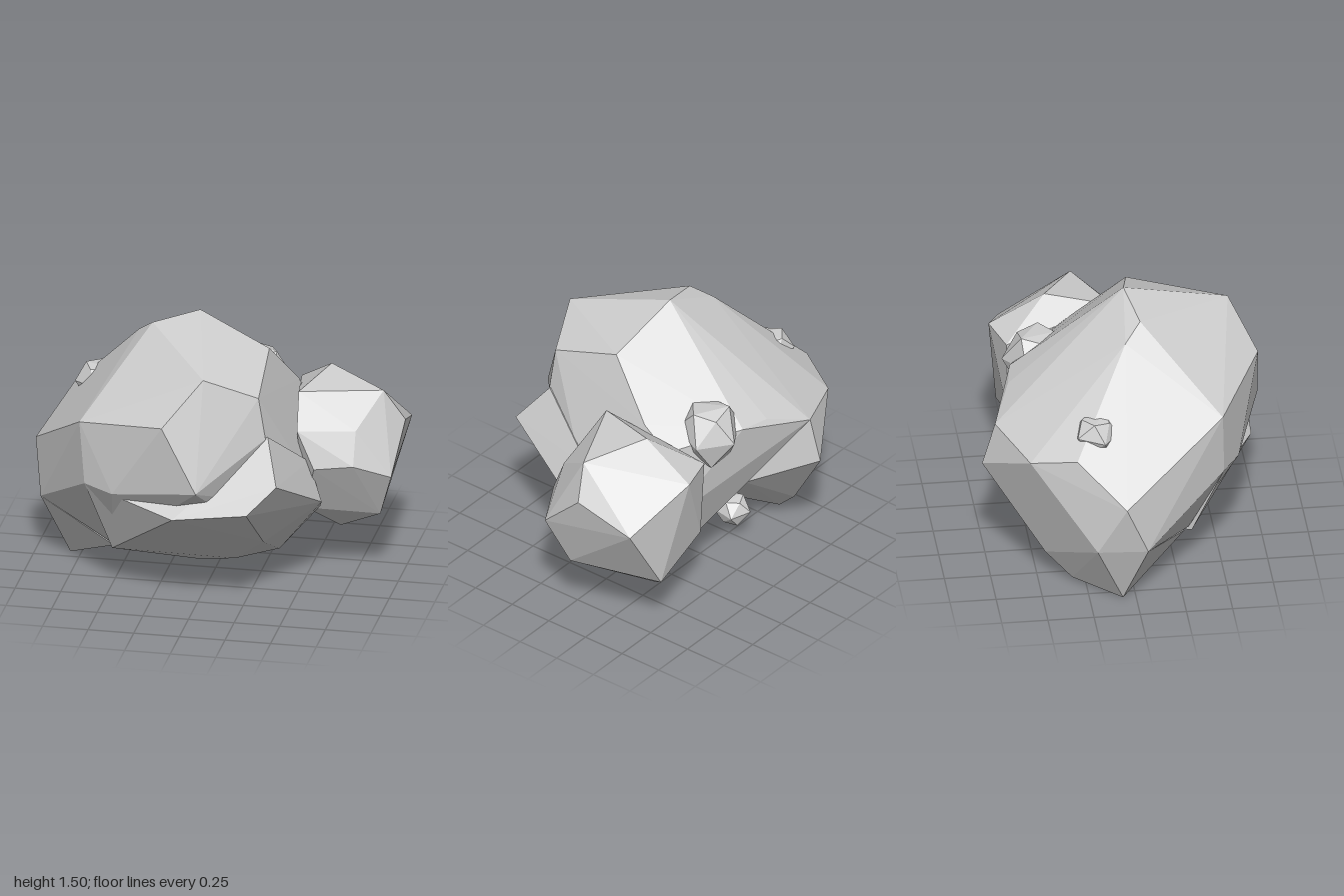
import * as THREE from 'three';
import { ConvexGeometry } from 'three/addons/geometries/ConvexGeometry.js';

const stone = new THREE.MeshStandardMaterial({ color: 0xcecece });
stone.name = 'pale grey stone';

// A faceted rock: the convex hull of its corner points
function rock(name, corners) {
  const points = corners.map(([x, y, z]) => new THREE.Vector3(x, y, z));
  const mesh = new THREE.Mesh(new ConvexGeometry(points), stone);
  mesh.name = name;
  return mesh;
}

// A small chunky stone: a tilted, uneven polyhedron
function pebble(name, [x, y, z], [rx, ry, rz], turn) {
  const corners = [];
  for (let ring = 0; ring < 3; ring++) {
    const radius = [0.62, 1, 0.6][ring];
    for (let i = 0; i < 5; i++) {
      const a = turn + (i + ring * 0.4) * Math.PI * 0.4;
      corners.push([
        x + Math.cos(a) * radius * rx,
        y + (ring - 1 + 0.12 * Math.sin(a * 2)) * 0.85 * ry,
        z + Math.sin(a) * radius * rz,
      ]);
    }
  }
  return rock(name, corners);
}

export function createModel() {
  const model = new THREE.Group();
  model.name = 'rockCluster';

  model.add(rock('mainBoulder', [
    // crown
    [-0.08, 1.5, 0.02], [-0.33, 1.43, 0.08], [-0.42, 1.35, -0.01],
    [0.31, 1.33, 0.08], [0.05, 1.33, 0.6], [0.33, 1.2, 0.48],
    // front lip
    [-0.15, 1.09, 0.74], [-0.65, 0.99, 0.49], [0.04, 0.73, 0.76],
    [0.37, 0.97, 0.49], [-0.45, 0.63, 0.6], [-0.62, 0.64, 0.5],
    // right and left flanks
    [0.42, 1.05, -0.2], [0.54, 0.6, 0.12], [0.57, 0.4, 0.0],
    [-1, 0.65, -0.07], [-0.95, 0.36, 0.05], [-0.84, 0.88, -0.32],
    // back
    [-0.35, 1.11, -0.35], [-0.72, 0.82, -0.56], [-0.37, 0.87, -0.71],
    [-0.12, 0.97, -0.61], [0.05, 0.98, -0.58], [0.42, 0.93, -0.35],
    [0.45, 0.5, -0.37],
    // underside
    [-0.5, 0.23, 0.32], [0.36, 0.16, 0.05], [0.18, 0.22, -0.32],
    [0.11, 0.07, 0.02], [-0.1, 0.03, -0.03], [-0.36, 0.11, 0.0],
  ]));

  // Low block whose sloping top runs in under the front lip
  model.add(rock('frontBlock', [
    [-0.1, 0.55, 0.71], [0.31, 0.61, 0.72], [0.46, 0.76, 0.65],
    [0.38, 0.98, 0.48], [-0.62, 0.64, 0.5], [0.61, 0.49, 0.15],
    [0.53, 0.7, 0.1], [0.57, 0.4, 0.0], [0.33, 0.31, 0.34],
    [-0.5, 0.21, 0.34], [0.36, 0.16, 0.05], [0.11, 0.07, 0.02],
    [-0.1, 0.03, -0.03],
  ]));

  // Low lump forming the back left foot
  model.add(rock('footBoulder', [
    [-0.37, 0.87, -0.71], [-0.37, 0.63, -0.78], [-0.72, 0.82, -0.56],
    [-1, 0.65, -0.07], [-0.95, 0.36, 0.05], [-0.93, 0.36, -0.22],
    [-0.81, 0, -0.07], [-0.6, 0.02, -0.32], [-0.55, 0.16, -0.46],
    [-0.5, 0.21, 0.3], [-0.36, 0.12, -0.05], [-0.2, 0.42, -0.4],
  ]));

  model.add(rock('sideBoulder', [
    // top
    [0.57, 1.1, -0.33], [0.89, 1.04, -0.15], [0.46, 1.07, 0.03],
    [0.36, 0.92, -0.56], [0.58, 0.93, -0.63],
    // front
    [0.78, 0.88, 0.07], [0.78, 0.7, 0.14], [0.57, 0.68, 0.17],
    [0.47, 0.88, 0.13], [0.97, 0.62, 0.05], [0.89, 0.36, -0.06],
    [0.5, 0.4, 0.03],
    // outer side and back
    [1, 0.86, -0.2], [0.97, 0.75, -0.53], [0.75, 0.36, -0.57],
    [0.38, 0.48, -0.55],
    // underside
    [0.65, 0.23, -0.17], [0.65, 0.26, -0.46],
  ]));

  // Small stones lodged around the main boulder
  model.add(pebble('backPebble', [0.15, 0.96, -0.43], [0.18, 0.17, 0.18], 0.5));
  model.add(pebble('leftPebble', [-0.67, 0.96, -0.2], [0.14, 0.1, 0.13], 1.1));
  model.add(pebble('lowerPebble', [-0.24, 0.18, -0.28], [0.1, 0.08, 0.11], 0.2));
  return model;
}
